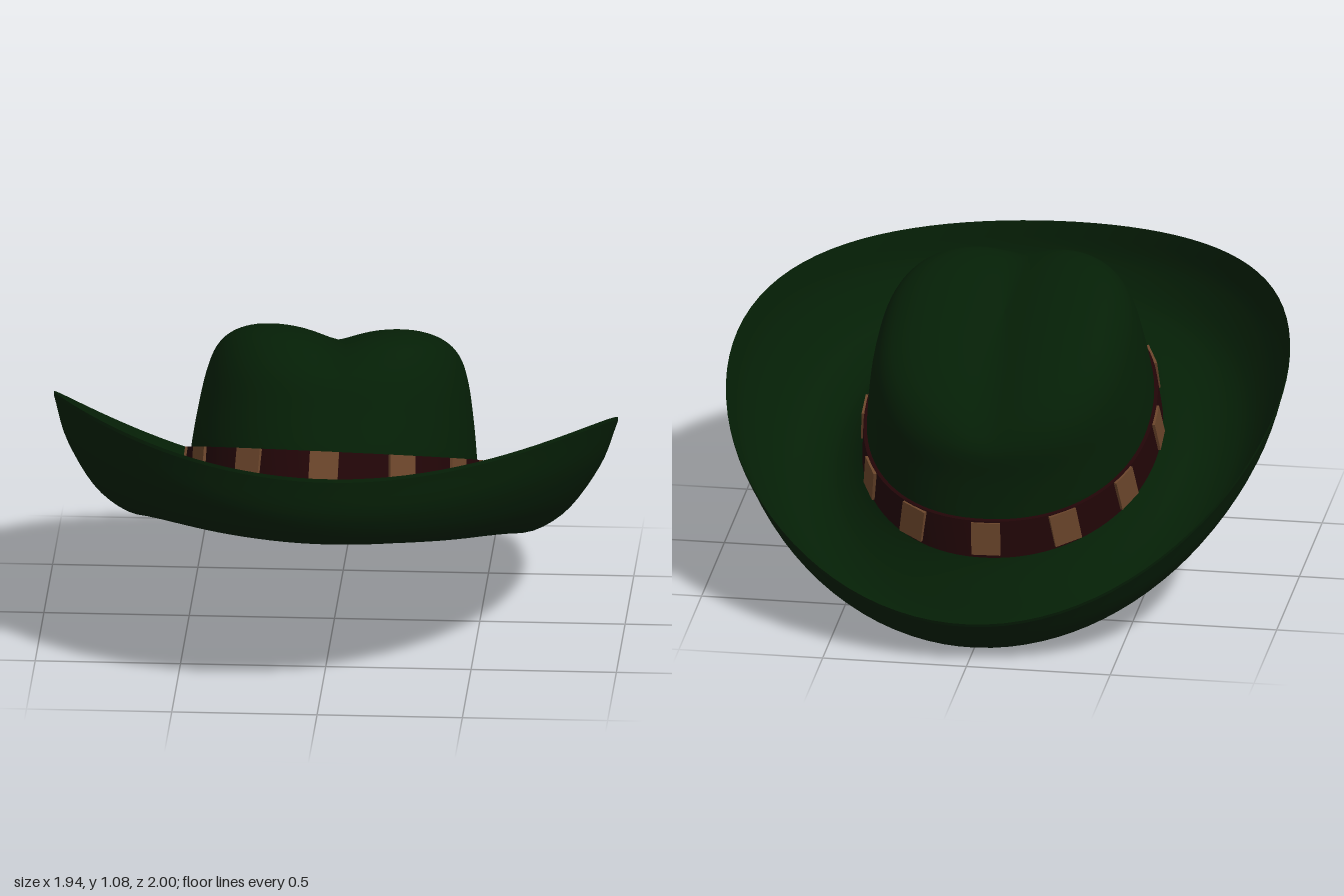
import * as THREE from 'three';
import { mergeGeometries } from 'three/addons/utils/BufferGeometryUtils.js';

const SEG = 96;
const lerp = THREE.MathUtils.lerp;

// Crown levels: height, front z, back z, half width
const CROWN = [
  [0.08, 0.605, -0.61, 0.502],
  [0.2, 0.585, -0.56, 0.49],
  [0.32, 0.56, -0.52, 0.474],
  [0.45, 0.53, -0.485, 0.45],
  [0.54, 0.475, -0.41, 0.418],
  [0.595, 0.41, -0.3, 0.365],
  [0.627, 0.31, -0.16, 0.28],
  [0.64, 0.19, -0.04, 0.15],
  [0.643, 0.07, 0.07, 0],
];
// Brim underside: outward fraction, height at front and back, height at the sides
const BRIM = [
  [1, 0.08, 0.35],
  [0.88, -0.05, 0.19],
  [0.62, -0.13, 0.02],
  [0.28, -0.075, -0.05],
];

function oval(y, front, back, half, a) {
  const p = 1 - 0.42 * Math.max(0, y);
  const pow = (v) => Math.sign(v) * Math.abs(v) ** p;
  return new THREE.Vector3(half * pow(Math.sin(a)), y,
    (front + back) / 2 + (front - back) / 2 * pow(Math.cos(a)));
}

// Section through brim and crown at one angle, from the rim to the top
function section(a, inside) {
  const s2 = Math.sin(a) ** 2;
  const inner = oval(...CROWN[0], a);
  const outer = oval(0, 1.095, -1.025, 0.97, a);
  const pts = BRIM.map(([t, end, side]) => {
    const p = inner.clone().lerp(outer, t);
    p.y = lerp(end, side, s2) + 0.025 * Math.max(0, -Math.cos(a)) ** 2
      + (inside ? 0 : 0.012 + 0.05 * (1 - t) ** 2);
    return p;
  });
  for (const [y, f, b, w] of CROWN) {
    const k = inside ? 0.965 : 1;
    pts.push(oval(inside ? y - 0.02 : y, f * k, b * k, w * k, a));
  }
  const curve = new THREE.CatmullRomCurve3(pts, false, 'catmullrom', 0.5);
  return curve.getPoints(60).map((p) => {
    // Lengthwise crease in the top
    p.y -= 0.06 * Math.exp(-((Math.abs(p.x) / 0.13) ** 1.4)) * THREE.MathUtils.smoothstep(p.y, 0.38, 0.6);
    return p;
  });
}

// Closed loft: columns[j] is the list of points at angle j
function loft(columns) {
  const n = columns.length, rows = columns[0].length, pos = [], idx = [];
  for (const col of columns) for (const p of col) pos.push(p.x, p.y, p.z);
  for (let j = 0; j < n; j++) {
    for (let i = 0; i < rows - 1; i++) {
      const a = j * rows + i, b = ((j + 1) % n) * rows + i;
      idx.push(a, b, a + 1, b, b + 1, a + 1);
    }
  }
  const g = new THREE.BufferGeometry();
  g.setAttribute('position', new THREE.Float32BufferAttribute(pos, 3));
  g.setIndex(idx);
  g.computeVertexNormals();
  return g;
}

// Point on the lower crown wall, pushed out by off
function wall(y, off, a) {
  const [A, B] = CROWN, t = (y - A[0]) / (B[0] - A[0]);
  return oval(y, lerp(A[1], B[1], t) + off, lerp(A[2], B[2], t) - off, lerp(A[3], B[3], t) + off, a);
}

export function createModel() {
  const felt = new THREE.MeshStandardMaterial({ color: 0x051f06 });
  felt.name = 'green felt';
  const leather = new THREE.MeshStandardMaterial({ color: 0x210507 });
  leather.name = 'dark red leather';
  const brown = new THREE.MeshStandardMaterial({ color: 0x69442a });
  brown.name = 'brown patch';

  const model = new THREE.Group();
  model.name = 'hat';
  const add = (name, geometry, material) => {
    const m = new THREE.Mesh(geometry, material);
    m.name = name;
    model.add(m);
    return m;
  };

  // Felt shell: outside, lining side and rim edge
  const angles = Array.from({ length: SEG }, (_, j) => j / SEG * Math.PI * 2);
  const outside = angles.map((a) => section(a, false));
  const inside = angles.map((a) => section(a, true));
  add('crownAndBrim', loft(outside), felt);
  add('underside', loft(inside.map((c) => [...c].reverse())), felt);
  add('rimEdge', loft(angles.map((_, j) => [inside[j][0], outside[j][0]])), felt);

  // Band round the crown, with crisp edges
  const strip = [[0.07, 0], [0.07, 0.012], [0.192, 0.012], [0.192, -0.01]];
  const faces = [0, 1, 2].map((i) => loft(angles.map((a) =>
    [strip[i], strip[i + 1]].map(([y, off]) => wall(y, off, a)))));
  add('band', mergeGeometries(faces), leather);

  // Twelve patches on the band
  for (let i = 0; i < 12; i++) {
    const a = i / 12 * Math.PI * 2;
    const along = wall(0.13, 0, a + 0.02).sub(wall(0.13, 0, a - 0.02)).normalize();
    const up = wall(0.18, 0, a).sub(wall(0.08, 0, a)).normalize();
    const out = along.clone().cross(up).normalize();
    up.crossVectors(out, along);
    const patch = add('bandPatch', new THREE.BoxGeometry(0.1, 0.115, 0.016), brown);
    patch.quaternion.setFromRotationMatrix(new THREE.Matrix4().makeBasis(along, up, out));
    patch.position.copy(wall(0.134, 0.012, a));
  }

  // Tipped back and slightly to one side
  model.rotation.set(-0.349, 0, -0.026);
  const root = new THREE.Group();
  root.name = 'tiltedHat';
  root.add(model);

  // Rest on the ground and centre
  const box = new THREE.Box3().setFromObject(root, true);
  const c = box.getCenter(new THREE.Vector3());
  model.position.set(-c.x, -box.min.y, -c.z);
  return root;
}
